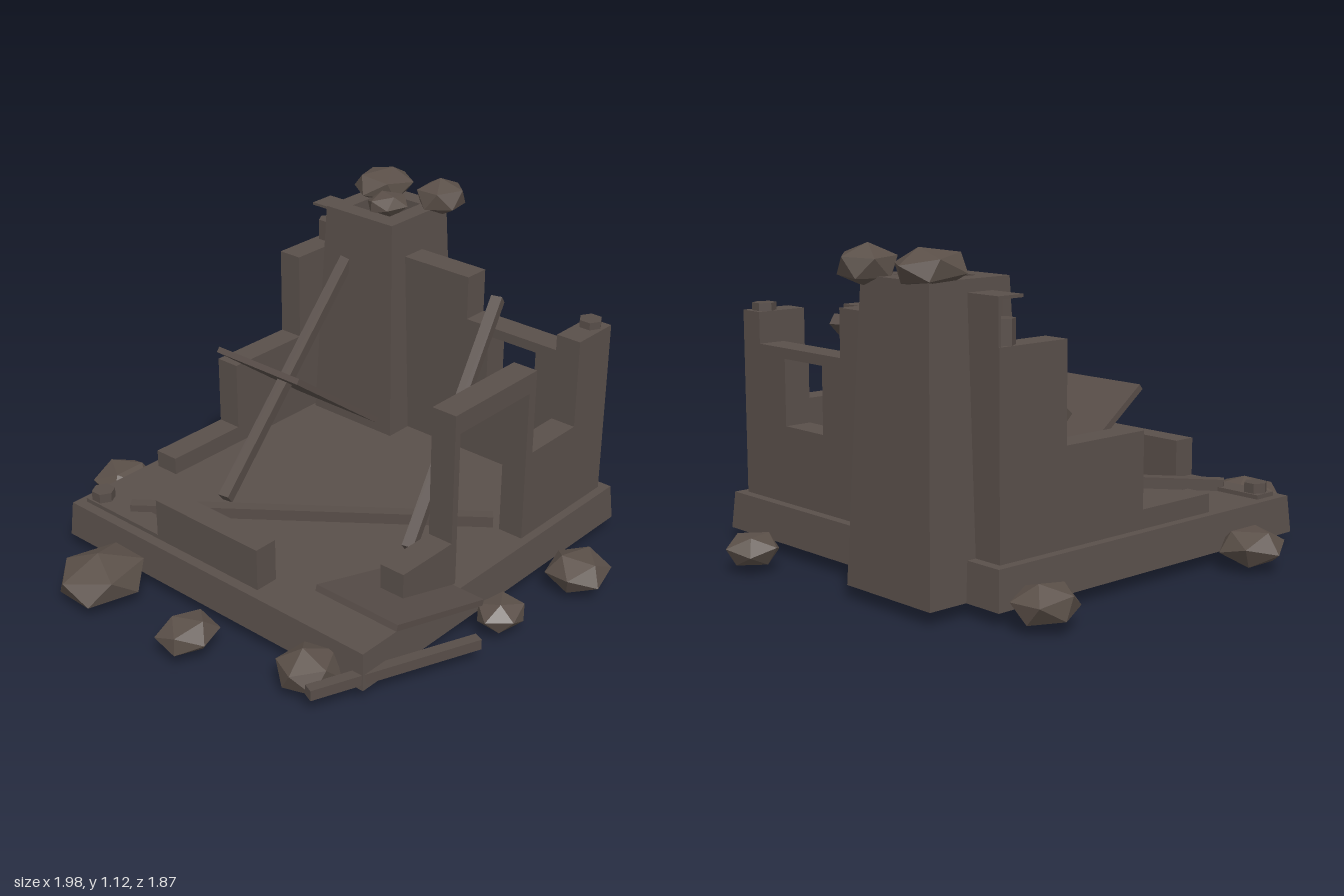
import * as THREE from 'three';

const mat = (name, color, extra) => {
  const m = new THREE.MeshStandardMaterial({ color, flatShading: true, ...extra });
  m.name = name;
  return m;
};

export function createModel() {
  const root = new THREE.Group();
  root.name = 'ruinedHouse';
  const wallStone = mat('wall stone', 0x594f4a);
  const shellStone = mat('shell stone', 0x594f4a, { side: THREE.DoubleSide });
  const wood = mat('charred wood', 0x574d48);
  const rubble = mat('rubble', 0x5a4f48);

  const add = (name, geo, material, x = 0, y = 0, z = 0) => {
    const m = new THREE.Mesh(geo, material);
    m.name = name;
    m.position.set(x, y, z);
    root.add(m);
    return m;
  };
  // Box given by its limits
  const block = (name, x0, x1, y0, y1, z0, z1, material = wallStone) =>
    add(name, new THREE.BoxGeometry(x1 - x0, y1 - y0, z1 - z0), material,
      (x0 + x1) / 2, (y0 + y1) / 2, (z0 + z1) / 2);
  // Four-sided shell from a profile of [half width, height]
  const shell = (name, profile, x, z) => add(name, new THREE.LatheGeometry(
    profile.map(([r, y]) => new THREE.Vector2(r * Math.SQRT2, y)), 4, Math.PI / 4), shellStone, x, 0, z);
  // Square timber between two points
  const beam = (name, a, b, w = 0.042) => {
    const p = new THREE.Vector3(...a), q = new THREE.Vector3(...b);
    const m = add(name, new THREE.BoxGeometry(w, w, p.distanceTo(q)), wood);
    m.position.copy(p).add(q).multiplyScalar(0.5);
    m.lookAt(q);
    return m;
  };

  // Foundation, open underneath, and hollow tapered chimney
  shell('foundation', [[0.7, 0.035], [0.69, 0.165], [0, 0.165]], 0.024, -0.018);
  shell('chimney', [[0.09, 0.035], [0.2, 0.035], [0.16, 1.01], [0.09, 1.01], [0.09, 0.035]], 0.667, -0.373);

  const F = 0.16; // floor level
  // Front wall with free-standing door frame
  block('frontWallLow', -0.435, -0.19, F, 0.33, 0.545, 0.64);
  block('doorPostRight', -0.19, -0.163, F, 0.8, 0.545, 0.64);
  block('doorPostLeft', 0.206, 0.243, F, 0.8, 0.545, 0.64);
  block('doorLintel', -0.163, 0.206, 0.727, 0.8, 0.545, 0.64);
  block('frontWallMiddle', 0.243, 0.49, F, 0.49, 0.545, 0.64);
  block('frontWallCorner', 0.49, 0.68, F, 0.815, 0.545, 0.64);

  // Left side wall with window
  block('windowWallFront', 0.58, 0.68, F, 0.705, 0.4, 0.545);
  block('windowSill', 0.58, 0.68, F, 0.435, 0.19, 0.4);
  block('windowLintel', 0.58, 0.68, 0.668, 0.705, 0.19, 0.4);
  block('windowWallBack', 0.58, 0.68, F, 0.705, 0.09, 0.19);
  block('sideWallTall', 0.58, 0.68, F, 0.87, -0.25, 0.09);

  // Back wall in three broken steps
  block('backWallLow', -0.28, 0.05, F, 0.23, -0.675, -0.58);
  block('backWallMiddle', 0.05, 0.4, F, 0.49, -0.675, -0.58);
  block('backWallTall', 0.4, 0.68, F, 0.82, -0.675, -0.58);
  block('cornerWall', 0.58, 0.68, F, 0.97, -0.58, -0.5);
  block('cornerPlate', 0.67, 0.68, 0.82, 0.97, -0.67, -0.58);
  block('cornerCap', 0.58, 0.67, 0.96, 0.97, -0.67, -0.58);

  // Right side wall, mostly fallen
  block('rightWallStump', -0.628, -0.54, F, 0.318, -0.3, 0.18);
  block('rightWallFooting', -0.628, -0.54, F, 0.18, -0.675, -0.3);

  // Hexagonal corner posts
  for (const [x, y0, y1, z] of [[0.628, 0.7, 0.842, 0.588], [-0.585, F, 0.215, -0.63], [0.628, 0.81, 0.9, -0.63]])
    add('cornerPost', new THREE.CylinderGeometry(0.042, 0.042, y1 - y0, 6), wood, x, (y0 + y1) / 2, z);

  // Fallen timbers
  beam('floorBeam', [-0.57, 0.185, -0.5], [0.216, 0.185, 0.51]);
  beam('frontRoofBeam', [-0.12, 0.18, 0.405], [0.6, 0.815, 0.21]);
  beam('backRoofBeam', [-0.3, 0.18, -0.3], [0.585, 0.87, -0.45]);
  beam('outerPlank', [-0.83, 0.07, 0.59], [-0.265, 0.07, 0.82], 0.038);

  // Fallen roof slabs, sloping down towards +x
  const slab = (x0, y0, x1, y1, z0, z1) => {
    const m = add('roofSlab', new THREE.BoxGeometry(Math.hypot(x1 - x0, y1 - y0), 0.022, z1 - z0), wood,
      (x0 + x1) / 2, (y0 + y1) / 2, (z0 + z1) / 2);
    m.rotation.z = Math.atan2(y1 - y0, x1 - x0);
  };
  slab(-0.06, 0.605, 0.375, 0.28, -0.56, -0.16);
  slab(-0.62, 0.285, -0.18, 0.155, 0.435, 0.77);

  // Rubble: flattened boulders as [x, y, z, radius x, half height, radius z]
  const rocks = [
    [-0.32, 0.07, -0.83, 0.12, 0.07, 0.115], [0.63, 0.07, -0.82, 0.12, 0.07, 0.105],
    [-0.82, 0.075, -0.38, 0.18, 0.085, 0.15], [-0.855, 0.07, 0.08, 0.115, 0.06, 0.1],
    [-0.74, 0.075, 0.51, 0.115, 0.075, 0.11], [-0.085, 0.07, 0.775, 0.1, 0.055, 0.085],
    [0.3, 0.07, 0.82, 0.12, 0.07, 0.115], [0.9, 0.065, 0.295, 0.1, 0.06, 0.095],
    [0.765, 1.045, -0.47, 0.13, 0.065, 0.115], [0.81, 1.04, -0.225, 0.105, 0.07, 0.1],
    [0.645, 1.025, -0.35, 0.09, 0.045, 0.08],
  ];
  rocks.forEach(([x, y, z, a, h, c], i) => {
    const g = new THREE.IcosahedronGeometry(1, 0);
    g.rotateX(0.4 + i * 0.9).rotateY(i * 1.7).scale(a, h, c);
    add('boulder', g, rubble, x, y, z);
  });
  return root;
}
